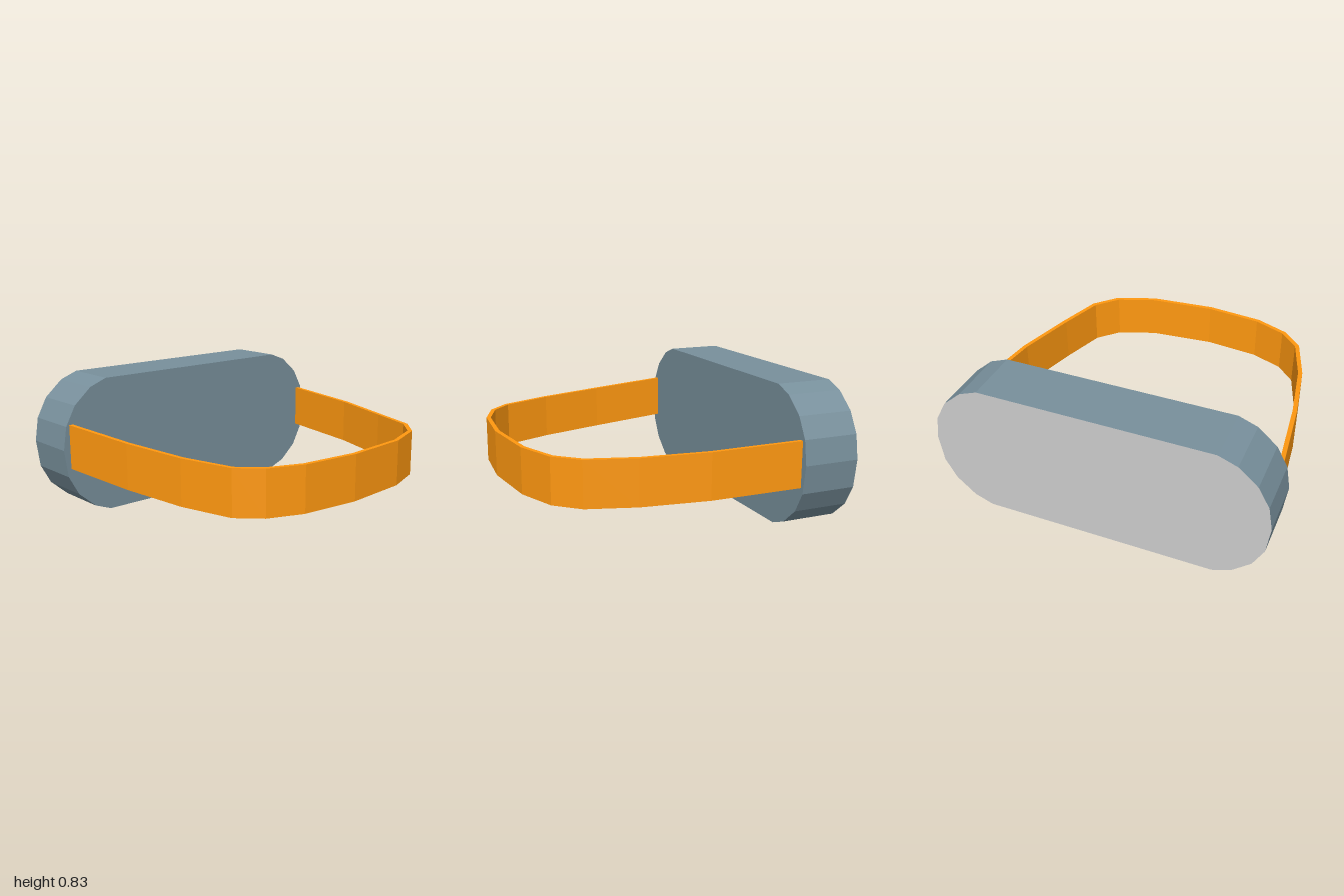
import * as THREE from 'three';

const slate = new THREE.MeshStandardMaterial({ color: 0x78909c, flatShading: true });
const orange = new THREE.MeshStandardMaterial({ color: 0xff9810, flatShading: true });
const grey = new THREE.MeshStandardMaterial({ color: 0xcccccc, flatShading: true });

// Faceted stadium block with a plain grey back face
function makeBody() {
  const midY = 0.415;
  const quarter = [[1, 0.012], [0.977, 0.155], [0.912, 0.275], [0.80, 0.373], [0.69, 0.415]];
  const side = [
    ...quarter.slice(1).reverse().map(([x, y]) => [x, -y]),
    ...quarter,
  ];
  const outline = [...side, ...side.map(([x, y]) => [-x, y]).reverse()]
    .map(([x, y]) => new THREE.Vector2(x, y + midY));
  const geometry = new THREE.ExtrudeGeometry(new THREE.Shape(outline), { depth: 0.34, bevelEnabled: false });
  geometry.translate(0, 0, -0.9);

  // The cap triangles come first: back half, then front half
  const caps = geometry.groups[0].count;
  const total = geometry.attributes.position.count;
  geometry.clearGroups();
  geometry.addGroup(0, caps / 2, 1);
  geometry.addGroup(caps / 2, total - caps / 2, 0);
  const body = new THREE.Mesh(geometry, [slate, grey]);
  body.name = 'body';
  return body;
}

// Thin band swept along a path of outer points [x, z, bottom y]
function makeStrap() {
  const height = 0.27, thickness = 0.026;
  const path = [
    [-0.956, -0.56, 0.308], [-0.898, -0.05, 0.283], [-0.828, 0.35, 0.268], [-0.73, 0.65, 0.26],
    [-0.605, 0.775, 0.26], [-0.40, 0.857, 0.26], [-0.05, 0.893, 0.26], [0.355, 0.857, 0.26],
    [0.597, 0.768, 0.26], [0.725, 0.632, 0.26], [0.815, 0.35, 0.26], [0.905, -0.03, 0.273],
    [0.958, -0.56, 0.291],
  ];
  const normalOf = (a, b) => new THREE.Vector2(b[1] - a[1], a[0] - b[0]).normalize();
  const positions = [], index = [];

  path.forEach(([x, z, y], i) => {
    const before = normalOf(path[Math.max(i - 1, 0)], path[Math.max(i, 1)]);
    const last = path.length - 1;
    const after = normalOf(path[Math.min(i, last - 1)], path[Math.min(i + 1, last)]);
    // Mitred inward offset; the open ends stay flat against the body
    const inward = before.clone().add(after).normalize();
    inward.multiplyScalar(thickness / inward.dot(before));
    if (i === 0 || i === last) inward.y = 0;
    const xi = x + inward.x, zi = z + inward.y;
    positions.push(x, y, z, x, y + height, z, xi, y + height, zi, xi, y, zi);
  });

  // Join neighbouring rectangular sections
  for (let i = 0; i < path.length - 1; i++) {
    for (let k = 0; k < 4; k++) {
      const a = i * 4 + k, b = i * 4 + (k + 1) % 4;
      index.push(a, a + 4, b, b, a + 4, b + 4);
    }
  }
  const e = (path.length - 1) * 4;
  index.push(0, 1, 2, 0, 2, 3, e, e + 2, e + 1, e, e + 3, e + 2);

  const geometry = new THREE.BufferGeometry();
  geometry.setAttribute('position', new THREE.Float32BufferAttribute(positions, 3));
  geometry.setIndex(index);
  const flat = geometry.toNonIndexed();
  flat.computeVertexNormals();
  const strap = new THREE.Mesh(flat, orange);
  strap.name = 'strap';
  return strap;
}

export function createModel() {
  const model = new THREE.Group();
  model.name = 'strappedBlock';
  model.add(makeBody(), makeStrap());
  return model;
}
